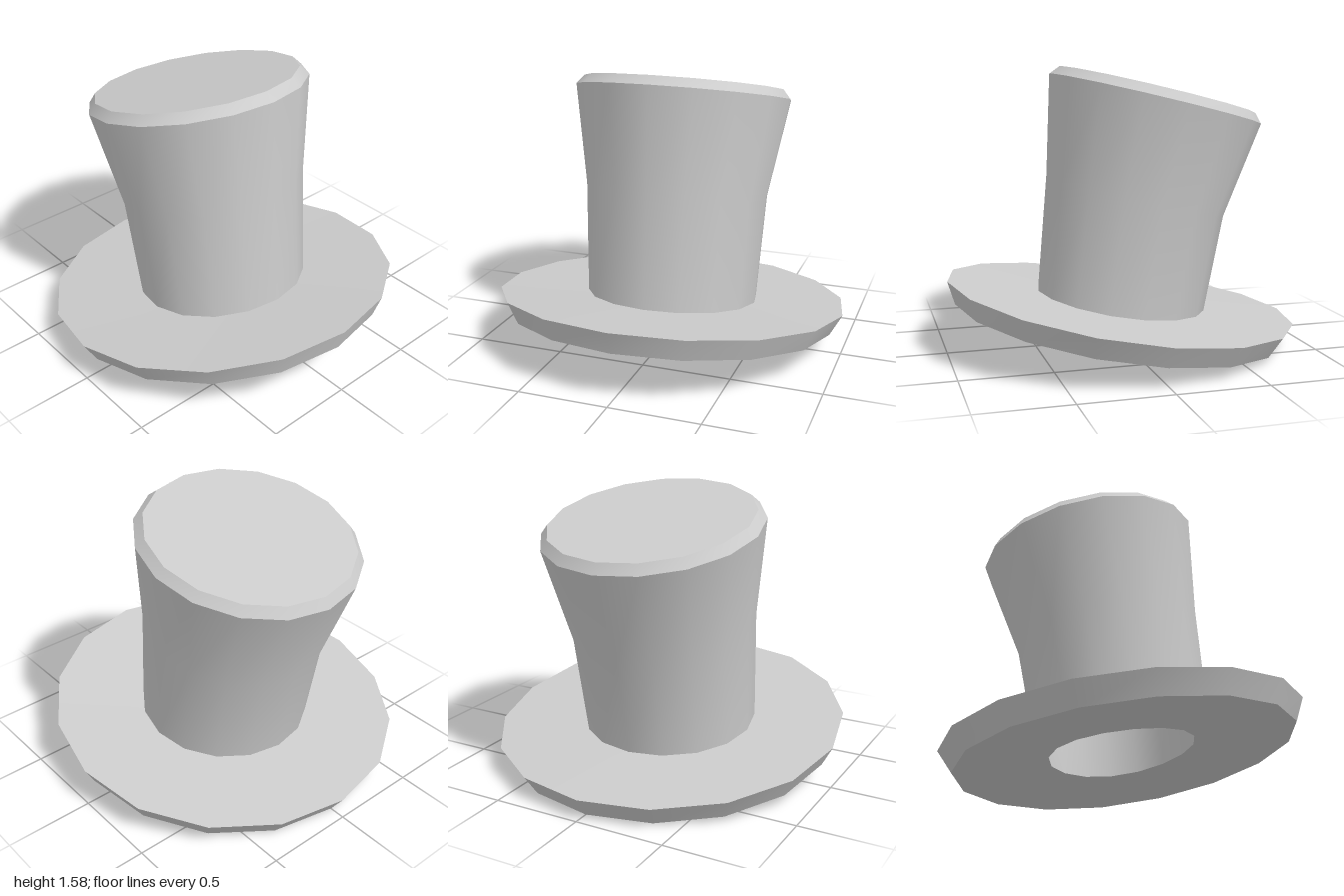
import * as THREE from 'three';

const SIDES = 16;
const material = new THREE.MeshStandardMaterial({ color: 0xcccccc });

// A tilted elliptical ring given by its front and back points, half width and height at the sides
function ring(halfWidth, [frontZ, frontY], [backZ, backY], sideY = (frontY + backY) / 2) {
  const cz = (frontZ + backZ) / 2, rz = (frontZ - backZ) / 2;
  const slope = (frontY - backY) / 2, bend = (frontY + backY) / 2 - sideY;
  return Array.from({ length: SIDES }, (_, i) => {
    const a = (i / SIDES) * Math.PI * 2, c = Math.cos(a);
    return [halfWidth * Math.sin(a), sideY + slope * c + bend * c * c, cz + rz * c];
  });
}

// A ring shrunk to its middle, used to close a cap
const middle = (r) => {
  const y = (r[0][1] + r[SIDES / 2][1]) / 2, z = (r[0][2] + r[SIDES / 2][2]) / 2;
  return r.map(() => [0, y, z]);
};

// Smooth surface through a list of rings; separate bands meet in sharp edges
function band(name, rings) {
  const index = [];
  for (let k = 0; k < rings.length - 1; k++) {
    for (let i = 0; i < SIDES; i++) {
      const j = (i + 1) % SIDES;
      const a = k * SIDES + i, b = k * SIDES + j;
      index.push(a, b, b + SIDES, a, b + SIDES, a + SIDES);
    }
  }
  const geometry = new THREE.BufferGeometry();
  geometry.setAttribute('position', new THREE.Float32BufferAttribute(rings.flat(2), 3));
  geometry.setIndex(index);
  geometry.computeVertexNormals();
  const mesh = new THREE.Mesh(geometry, material);
  mesh.name = name;
  return mesh;
}

export function createModel() {
  const hat = new THREE.Group();
  hat.name = 'topHat';

  // Brim
  const brimLower = ring(0.935, [0.95, 0.28], [-0.91, 0.005], 0.12);
  const brimUpper = ring(1, [0.99, 0.41], [-0.99, 0.12], 0.237);
  const opening = ring(0.4, [0.4, 0.235], [-0.4, 0.115], 0.155);

  // Crown, flaring and leaning backwards
  const base = ring(0.493, [0.48, 0.325], [-0.48, 0.19], 0.245);
  const waist = ring(0.522, [0.425, 0.97], [-0.59, 0.73]);
  const shoulder = ring(0.617, [0.402, 1.545], [-0.803, 1.25]);
  const topEdge = ring(0.573, [0.345, 1.585], [-0.772, 1.31]);

  // Hollow inside
  const liningWaist = ring(0.43, [0.335, 0.95], [-0.5, 0.71]);
  const liningTop = ring(0.52, [0.3, 1.47], [-0.7, 1.23]);

  hat.add(
    band('brimUnderside', [opening, brimLower]),
    band('brimEdge', [brimLower, brimUpper]),
    band('brimTop', [brimUpper, base]),
    band('crownWall', [base, waist, shoulder]),
    band('crownBevel', [shoulder, topEdge]),
    band('crownTop', [topEdge, middle(topEdge)]),
    band('liningCeiling', [middle(liningTop), liningTop]),
    band('liningWall', [liningTop, liningWaist, opening]),
  );
  return hat;
}
